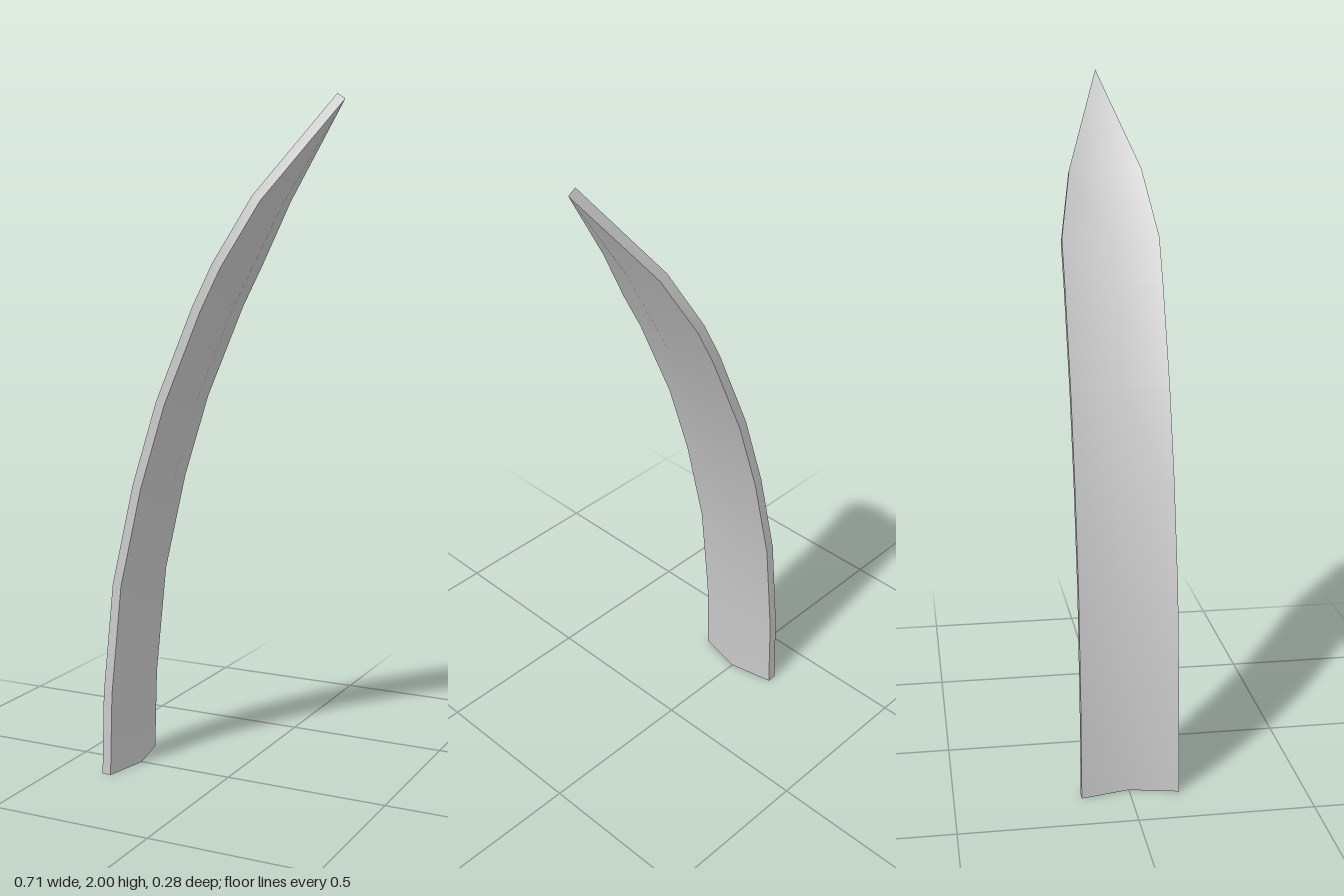
import * as THREE from 'three';
import { toCreasedNormals } from 'three/addons/utils/BufferGeometryUtils.js';

const THICKNESS = 0.028;
const HALF_WIDTH = 0.14;
const RIDGE = 0.03; // depth of the shallow V section at full width

// Ridge line of the blade from foot to tip: [x, y, half width]
const SPINE = [
  [-0.298, 0, 0.14], [-0.290, 0.25, 0.14], [-0.255, 0.584, 0.14],
  [-0.186, 0.88, 0.14], [-0.108, 1.125, 0.14], [0.008, 1.395, 0.14],
  [0.07, 1.515, 0.14], [0.167, 1.70, 0.105], [0.353, 1.985, 0],
];

// V-shaped cross-section, square to the ridge line
function section(i) {
  const [x, y, w] = SPINE[i];
  const prev = SPINE[Math.max(i - 1, 0)];
  const next = SPINE[Math.min(i + 1, SPINE.length - 1)];
  const n = i === 0
    ? new THREE.Vector2(1, 0)
    : new THREE.Vector2(next[1] - prev[1], prev[0] - next[0]).normalize();
  const drop = RIDGE * w / HALF_WIDTH;
  const at = (depth, z) => new THREE.Vector3(x - n.x * depth, y - n.y * depth, z);
  return [
    at(THICKNESS + drop, w), at(THICKNESS, 0), at(THICKNESS + drop, -w),
    at(drop, -w), at(0, 0), at(drop, w),
  ];
}

function bladeGeometry() {
  const rings = SPINE.map((_, i) => section(i));
  const positions = [];
  const tri = (a, b, c) => {
    // skip triangles that collapse at the tip
    if (new THREE.Triangle(a, b, c).getArea() < 1e-8) return;
    for (const p of [a, b, c]) positions.push(p.x, p.y, p.z);
  };
  const quad = (a, b, c, d) => { tri(a, b, c); tri(a, c, d); };

  // Faces and edges along the length
  for (let i = 0; i < rings.length - 1; i++) {
    const low = rings[i], high = rings[i + 1];
    for (let j = 0; j < 6; j++) {
      const k = (j + 1) % 6;
      quad(low[j], high[j], high[k], low[k]);
    }
  }
  // Flat foot
  const f = rings[0];
  quad(f[0], f[1], f[4], f[5]);
  quad(f[1], f[2], f[3], f[4]);

  const geometry = new THREE.BufferGeometry();
  geometry.setAttribute('position', new THREE.Float32BufferAttribute(positions, 3));
  return toCreasedNormals(geometry, 0.6);
}

export function createModel() {
  const group = new THREE.Group();
  group.name = 'curvedBlade';
  const blade = new THREE.Mesh(
    bladeGeometry(),
    new THREE.MeshStandardMaterial({ color: 0xcccccc }),
  );
  blade.name = 'blade';
  group.add(blade);
  return group;
}
